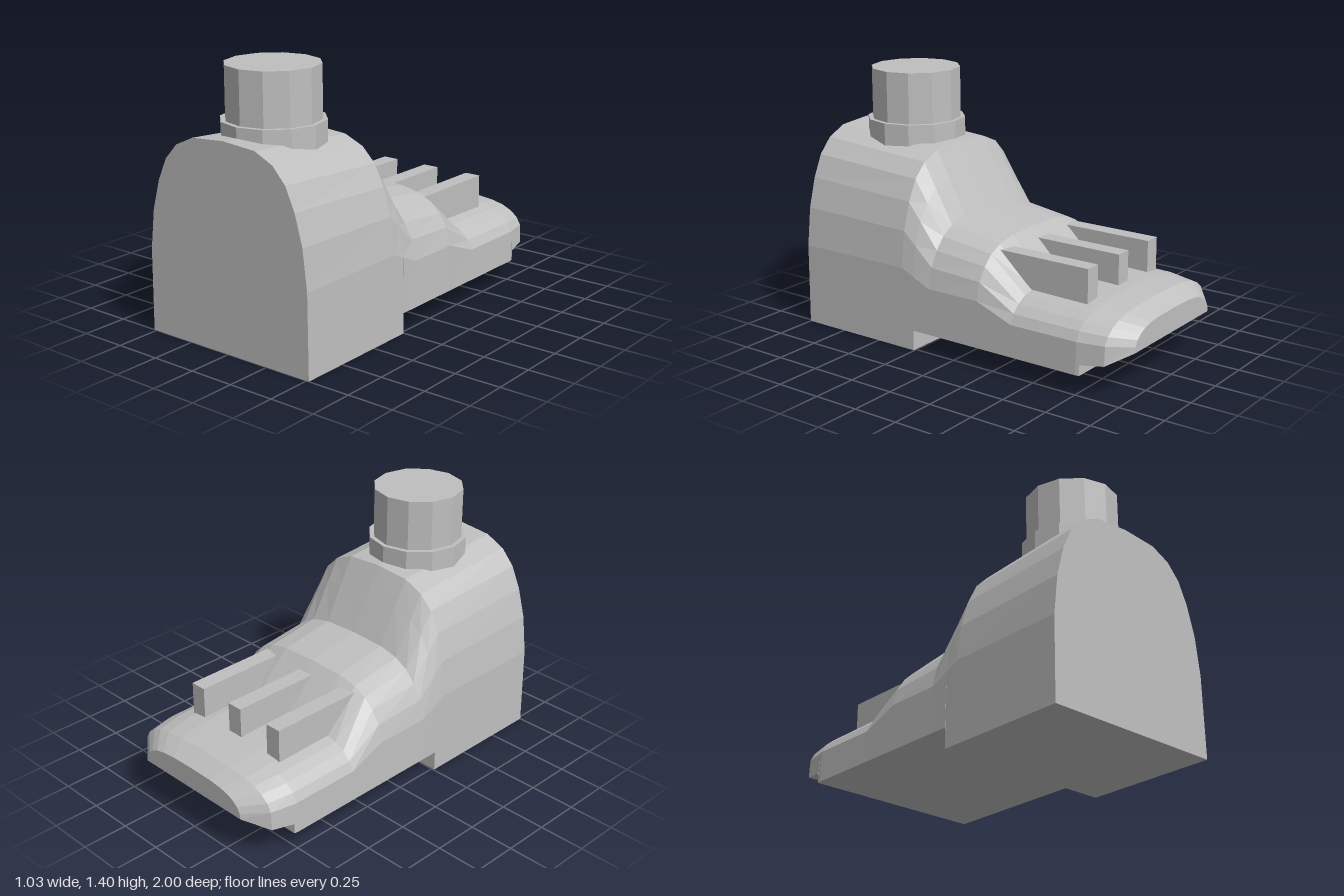
import * as THREE from 'three';

// Right half of the arch, from spring line to crown: [x fraction, height fraction]
const ARCH = [[1, 0], [0.95, 0.33], [0.863, 0.58], [0.755, 0.768], [0.608, 0.896], [0.392, 0.976], [0, 1]];

// Body stations from front to back: [z, half width, bottom, spring line, top]
const STATIONS = [
  [1.0, 0.51, 0, 0.44, 1.078],
  [0.33, 0.51, 0, 0.44, 1.028],
  [0.255, 0.51, 0, 0.407, 0.888],
  [0.255, 0.51, 0.11, 0.407, 0.888],
  [0.15, 0.51, 0.11, 0.36, 0.69],
  [-0.16, 0.51, 0.11, 0.36, 0.64],
  [-0.37, 0.51, 0.11, 0.28, 0.435],
  [-0.76, 0.51, 0.11, 0.28, 0.425],
  [-0.78, 0.506, 0.11, 0.28, 0.423],
  [-0.78, 0.506, 0.165, 0.28, 0.423],
  [-0.905, 0.482, 0.18, 0.28, 0.407],
  [-1.0, 0.36, 0.23, 0.26, 0.355],
];

// Closed arch ring, counterclockwise seen from the front
function ring([z, w, bottom, spring, top]) {
  const half = [[w + 0.005, bottom], ...ARCH.map(([x, y]) => [x * w, spring + y * (top - spring)])];
  const mirrored = half.slice(0, -1).reverse().map(([x, y]) => [-x, y]);
  return [...half, ...mirrored].map(([x, y]) => [x, y, z]);
}

function loft(rings) {
  const n = rings[0].length, index = [];
  for (let i = 0; i < rings.length - 1; i++) {
    for (let j = 0; j < n; j++) {
      const k = (j + 1) % n;
      const a = i * n + j, b = i * n + k, c = b + n, d = a + n;
      index.push(a, d, c, a, c, b);
    }
  }
  // End caps
  const last = (rings.length - 1) * n;
  for (let j = 1; j < n - 1; j++) index.push(0, j, j + 1, last, last + j + 1, last + j);
  const g = new THREE.BufferGeometry();
  g.setAttribute('position', new THREE.Float32BufferAttribute(rings.flat(2), 3));
  g.setIndex(index);
  const flat = g.toNonIndexed();
  flat.computeVertexNormals();
  return flat;
}

export function createModel() {
  const model = new THREE.Group();
  const grey = new THREE.MeshStandardMaterial({ color: 0xbfbfbf });
  grey.name = 'grey';
  grey.flatShading = true;

  const add = (name, geometry, x = 0, y = 0, z = 0) => {
    const mesh = new THREE.Mesh(geometry, grey);
    mesh.name = name;
    mesh.position.set(x, y, z);
    model.add(mesh);
  };

  // Arched housing stepping down to a low nose at the back
  add('body', loft(STATIONS.map(ring)));

  // Twelve-sided neck and its collar
  add('collar', new THREE.CylinderGeometry(0.268, 0.268, 0.225, 12), 0, 1.0125, 0.637);
  add('neck', new THREE.CylinderGeometry(0.243, 0.243, 0.4, 12), 0, 1.2, 0.637);

  // Three upright fins, sunk into the low part
  ['rightFin', 'middleFin', 'leftFin'].forEach((name, i) =>
    add(name, new THREE.BoxGeometry(0.09, 0.27, 0.535), (i - 1) * 0.284, 0.453, -0.4375));

  return model;
}
